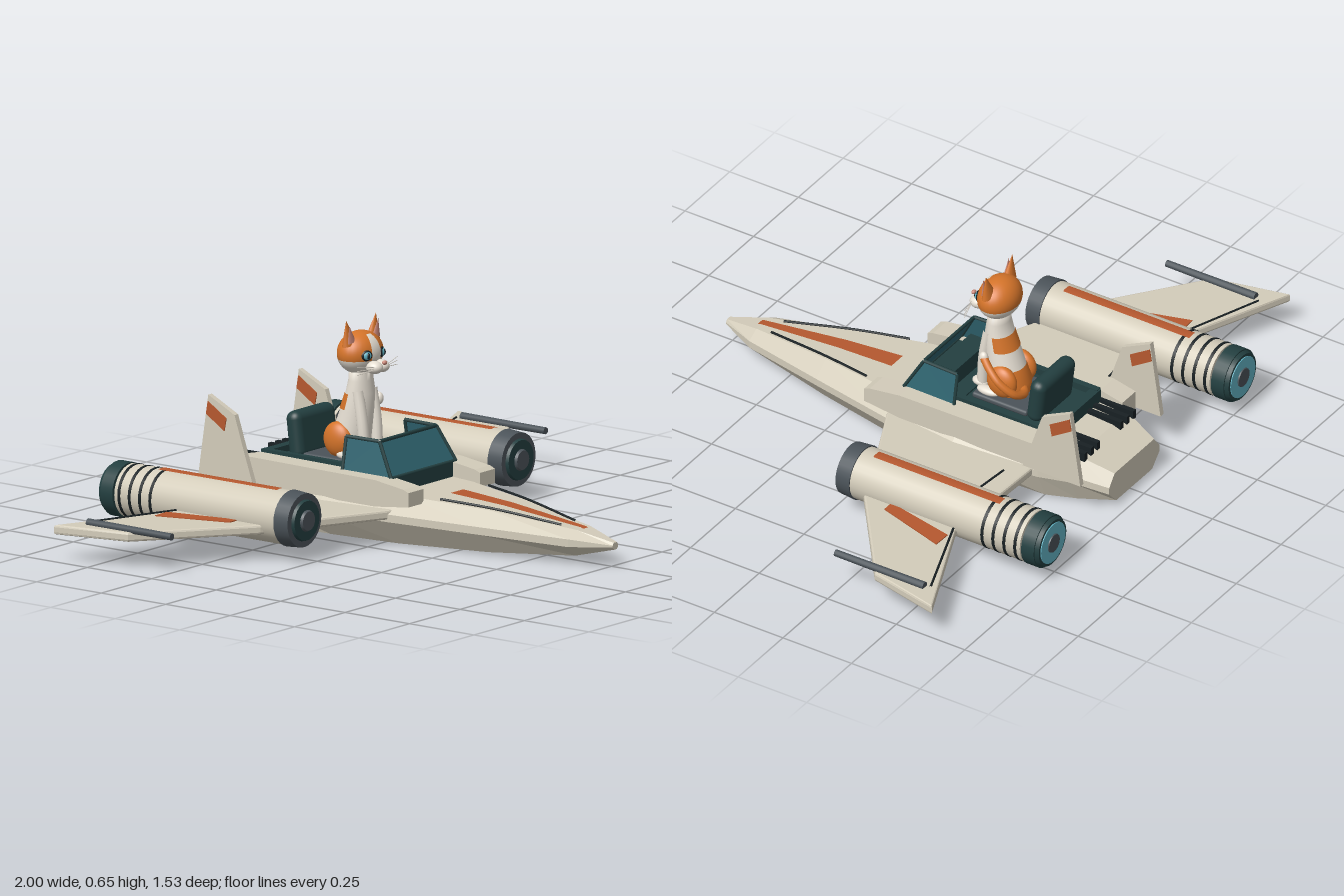
import * as THREE from 'three';
import { RoundedBoxGeometry } from 'three/addons/geometries/RoundedBoxGeometry.js';

const mat = (name, color, side = THREE.FrontSide) => {
  const m = new THREE.MeshStandardMaterial({ color, side });
  m.name = name;
  return m;
};

export function createModel() {
  const model = new THREE.Group();
  const cream = mat('hull cream', 0xd3ccba), slate = mat('slate metal', 0x4b5359);
  const dark = mat('dark green trim', 0x233f40), black = mat('panel black', 0x182023);
  const rust = mat('rust stripe', 0xb5582f), glass = mat('teal glass', 0x2f6470, THREE.DoubleSide);
  const glow = mat('engine glow', 0x63b4c6), ginger = mat('ginger fur', 0xd5742a);
  const white = mat('white fur', 0xe6dfd3), pink = mat('pink skin', 0xc98778);

  const add = (name, geo, material, x = 0, y = 0, z = 0, parent = model) => {
    const m = new THREE.Mesh(geo, material);
    m.name = name;
    m.position.set(x, y, z);
    parent.add(m);
    return m;
  };
  const box = (w, h, d) => new THREE.BoxGeometry(w, h, d);
  const V = (p) => new THREE.Vector3(...p);
  const tube = (pts, r, n = 12, sides = 6) =>
    new THREE.TubeGeometry(new THREE.CatmullRomCurve3(pts.map(V)), n, r, sides);
  // Cylinder lying along z between z0 (front) and z1 (back)
  const rod = (rf, rb, z0, z1, sides = 28) =>
    new THREE.CylinderGeometry(rf, rb, z0 - z1, sides).rotateX(Math.PI / 2).translate(0, 0, (z0 + z1) / 2);
  const ball = (rx, ry, rz, ...arc) => new THREE.SphereGeometry(1, 28, 20, ...arc).scale(rx, ry, rz);

  // Skin through rings of points; closed rings get end caps
  const loft = (rings, closed, flat) => {
    const n = rings[0].length, idx = [], last = (rings.length - 1) * n;
    for (let i = 0; i < rings.length - 1; i++)
      for (let j = 0; j < (closed ? n : n - 1); j++) {
        const a = i * n + j, b = i * n + (j + 1) % n;
        idx.push(a, a + n, b, b, a + n, b + n);
      }
    if (closed)
      for (let j = 1; j < n - 1; j++) idx.push(0, j, j + 1, last, last + j + 1, last + j);
    let g = new THREE.BufferGeometry();
    g.setAttribute('position', new THREE.Float32BufferAttribute(rings.flat(2), 3));
    g.setIndex(idx);
    if (flat) g = g.toNonIndexed();
    g.computeVertexNormals();
    return g;
  };
  // Horizontal plate from [x, z] outline, bottom at y = 0
  const plate = (pts, h, bevel = 0) => {
    const shape = new THREE.Shape(pts.map(([x, z]) => new THREE.Vector2(x, -z)));
    return new THREE.ExtrudeGeometry(shape, {
      depth: h - 2 * bevel, bevelEnabled: bevel > 0, bevelSize: bevel, bevelOffset: -bevel,
      bevelThickness: bevel, bevelSegments: 2,
    }).rotateX(-Math.PI / 2).translate(0, bevel, 0);
  };
  // Upright plate from [z, y] outline, centred on x = 0
  const upright = (pts, w) => new THREE.ExtrudeGeometry(
    new THREE.Shape(pts.map(([z, y]) => new THREE.Vector2(-z, y))), { depth: w, bevelEnabled: false },
  ).translate(0, 0, -w / 2).rotateY(Math.PI / 2);

  // Hull: z, top, middle and bottom half widths, bottom, middle and top heights
  const hull = [
    [0.765, 0.008, 0.014, 0.006, 0.055, 0.066, 0.077], [0.64, 0.035, 0.075, 0.04, 0.025, 0.07, 0.105],
    [0.35, 0.09, 0.145, 0.1, 0.006, 0.08, 0.135], [0.05, 0.15, 0.215, 0.16, 0.002, 0.09, 0.152],
    [-0.2, 0.16, 0.24, 0.18, 0, 0.092, 0.17], [-0.5, 0.15, 0.21, 0.17, 0, 0.1, 0.172],
    [-0.6, 0.14, 0.18, 0.14, 0.006, 0.1, 0.165], [-0.715, 0.11, 0.14, 0.1, 0.02, 0.075, 0.125],
  ].map(([z, t, m, b, y0, y1, y2]) => {
    const e = Math.min(0.012, m * 0.2);
    return [[m, y1 + e, z], [t, y2, z], [-t, y2, z], [-m, y1 + e, z],
      [-m, y1 - e, z], [-b, y0, z], [b, y0, z], [m, y1 - e, z]];
  });
  add('hull', loft(hull, true, true), cream);
  const strip = [[0.65, 0.012, 0.106], [0.64, 0.012, 0.109], [0.35, 0.024, 0.139], [0.15, 0.032, 0.151]];
  add('noseStripe', loft(strip.map(([z, w, y]) => [[w, y, z], [-w, y, z]]), false, true), rust);

  // Cockpit tub, fairing, console and seat
  add('cockpitFloor', box(0.27, 0.06, 0.5), dark, 0, 0.165, -0.25);
  add('windshieldBase', box(0.3, 0.06, 0.19), dark, 0, 0.17, -0.07);
  add('cockpitRearWall', box(0.27, 0.05, 0.03), dark, 0, 0.19, -0.49);
  add('console', box(0.24, 0.06, 0.07), dark, 0, 0.225, -0.075);
  add('seatCushion', new RoundedBoxGeometry(0.18, 0.02, 0.2, 2, 0.008), slate, 0, 0.203, -0.28);
  add('seatBack', new RoundedBoxGeometry(0.2, 0.15, 0.055, 4, 0.026), dark, 0, 0.262, -0.412).rotation.x = -0.12;

  // Windshield: front pane and two side panes in a dark frame
  const fb = [0.16, 0.2, 0.02], ft = [0.14, 0.305, -0.04], rt = [0.145, 0.305, -0.165], rb = [0.165, 0.2, -0.165];
  const flip = ([x, y, z]) => [-x, y, z];
  const pane = (a, b, c, d) => loft([[a, b], [d, c]], false, true);
  add('windshieldFront', pane(ft, flip(ft), flip(fb), fb), glass);
  add('windshieldTopBar', tube([ft, flip(ft)], 0.006, 1), dark);
  add('windshieldBottomBar', tube([fb, flip(fb)], 0.006, 1), dark);

  for (const s of [1, -1]) {
    const m = (pts) => pts.map(([x, ...r]) => [s * x, ...r]);
    const [a, b, c, d] = m([fb, ft, rt, rb]);
    add('windshieldSide', pane(a, b, c, d), glass);
    [[a, b], [b, c], [c, d]].forEach((e) => add('windshieldFrame', tube(e, 0.006, 1), dark));
    add('cockpitWall', box(0.02, 0.035, 0.34), dark, s * 0.13, 0.2, -0.33);

    // Shoulder rail and tail fin
    add('shoulderRail', upright([[0.13, 0.135], [0.13, 0.18], [0.11, 0.188], [0, 0.203], [-0.5, 0.208],
      [-0.58, 0.19], [-0.58, 0.12], [0, 0.12]], 0.075), cream, s * 0.177);
    add('tailFin', upright([[-0.46, 0.13], [-0.49, 0.215], [-0.53, 0.335], [-0.632, 0.385], [-0.66, 0.2],
      [-0.67, 0.13]], 0.018), cream, s * 0.224);
    add('finPanel', upright([[-0.56, 0.32], [-0.632, 0.365], [-0.639, 0.325], [-0.568, 0.28]], 0.024),
      rust, s * 0.224);

    // Wing with painted stripe, panel lines and tip gun
    add('wing', plate(m([[0.14, 0.08], [0.215, 0.05], [0.44, -0.055], [0.615, -0.13], [0.945, -0.385],
      [1, -0.63], [0.615, -0.465], [0.21, -0.48], [0.14, -0.48]]), 0.03, 0.007), cream, 0, 0.085, 0);
    add('wingStripe', plate(m([[0.715, -0.46], [0.655, -0.462], [0.605, -0.225], [0.645, -0.225]]), 0.005),
      rust, 0, 0.113, 0);
    [[[0.915, -0.57], [0.615, -0.457]], [[0.44, -0.4], [0.27, -0.415]]].forEach((l) =>
      add('wingPanelLine', tube(m(l.map(([x, z]) => [x, 0.116, z])), 0.004, 1, 5), black));
    add('nosePanelLine', tube(m([[0.12, 0.152, 0.18], [0.083, 0.14, 0.36], [0.035, 0.113, 0.585]]), 0.004), black);
    add('wingGun', rod(0.011, 0.013, -0.23, -0.555, 12), slate, s * 0.925, 0.12, 0);

    // Engine pod
    const pod = new THREE.Group();
    pod.name = 'engine';
    pod.position.set(s * 0.53, 0.13, 0);
    model.add(pod);
    const part = (name, geo, material) => add(name, geo, material, 0, 0, 0, pod);
    part('engineBody', rod(0.084, 0.084, -0.07, -0.698), cream);
    part('engineCore', rod(0.07, 0.07, -0.69, -0.71), black);
    part('intakeCollar', rod(0.084, 0.088, -0.026, -0.078), slate);
    part('intakeDisc', rod(0.062, 0.066, -0.016, -0.03), dark);
    part('intakeHub', rod(0.03, 0.036, -0.008, -0.02), slate);
    for (const z of [-0.555, -0.595, -0.635, -0.675]) part('engineBand', rod(0.0855, 0.0855, z, z - 0.01), black);
    part('nozzleCollar', rod(0.086, 0.086, -0.704, -0.75), dark);
    part('nozzleLip', rod(0.082, 0.077, -0.75, -0.763), dark);
    part('nozzleGlow', rod(0.068, 0.068, -0.755, -0.766), glow);
    part('nozzleHub', rod(0.034, 0.03, -0.755, -0.77), slate);
    part('engineStripe', new THREE.CylinderGeometry(0.0862, 0.0862, 0.46, 6, 1, true, Math.PI - 0.2, 0.4)
      .rotateX(Math.PI / 2).translate(0, 0, -0.35), rust);

    // Rear deck vents
    for (const x of [0.065, 0.1, 0.135])
      add('deckVent', box(0.016, 0.03, 0.125), black, s * x, 0.168, -0.565);
  }

  // Cat, seated upright
  const cat = new THREE.Group();
  cat.name = 'cat';
  model.add(cat);
  const fur = (name, geo, material, x, y, z) => add(name, geo, material, x, y, z, cat);
  // Torso rows from the neck down: y, centre z, half width, half depth
  const torso = [[0.49, -0.222, 0.042, 0.032], [0.45, -0.222, 0.046, 0.034], [0.41, -0.224, 0.052, 0.042],
    [0.36, -0.234, 0.056, 0.052], [0.3, -0.248, 0.062, 0.06], [0.25, -0.262, 0.068, 0.066], [0.21, -0.266, 0.058, 0.06]];
  const wrap = (rows, a0, a1, grow, closed) => loft(rows.map(([y, cz, rx, rz]) =>
    Array.from({ length: 24 }, (_, i) => {
      const a = a0 + (a1 - a0) * i / (closed ? 24 : 23);
      return [Math.sin(a) * (rx + grow), y, cz + Math.cos(a) * (rz + grow)];
    })), closed, false);
  fur('torso', wrap(torso, 0, Math.PI * 2, 0, true), white);
  fur('shoulderPatch', wrap(torso.slice(2, 4), 1.7, 4.58, 0.002, false), ginger);
  fur('rumpPatch', wrap(torso.slice(4, 7), 1.8, 4.48, 0.002, false), ginger);
  fur('tail', tube([[0, 0.235, -0.31], [0.05, 0.245, -0.345], [0.1, 0.27, -0.34], [0.122, 0.31, -0.3],
    [0.115, 0.345, -0.26], [0.105, 0.37, -0.235]], 0.013, 30, 10), ginger);
  fur('tailTip', ball(0.013, 0.02, 0.015), white, 0.104, 0.37, -0.234);

  // Head: ginger cap, white jaw and blaze
  const hy = 0.535, hz = -0.225;
  fur('headCap', ball(0.083, 0.067, 0.064, 0, Math.PI * 2, 0, 1.82), ginger, 0, hy, hz);
  fur('jaw', ball(0.083, 0.067, 0.064, 0, Math.PI * 2, 1.82, Math.PI - 1.82), white, 0, hy, hz);
  fur('blaze', ball(0.085, 0.0685, 0.0655, Math.PI / 2 - 0.25, 0.5, 0.5, 1.4), white, 0, hy, hz);
  fur('nose', ball(0.009, 0.007, 0.007), pink, 0, 0.514, -0.13);
  for (const s of [1, -1]) {
    fur('muzzle', ball(0.024, 0.02, 0.028), white, s * 0.016, 0.498, -0.157);
    fur('eyeRim', ball(0.019, 0.017, 0.008), black, s * 0.037, 0.536, -0.171).rotation.y = s * 0.45;
    fur('eye', ball(0.014, 0.013, 0.008), glow, s * 0.038, 0.536, -0.168).rotation.y = s * 0.45;
    fur('pupil', ball(0.006, 0.01, 0.006), black, s * 0.0385, 0.536, -0.1635);
    fur('ear', new THREE.ConeGeometry(0.03, 0.078, 16).scale(1, 1, 0.55), ginger, s * 0.066, 0.607, -0.222)
      .rotation.z = -s * 0.2;
    fur('innerEar', new THREE.ConeGeometry(0.018, 0.054, 12).scale(1, 1, 0.4), pink, s * 0.066, 0.603, -0.211)
      .rotation.z = -s * 0.2;
    for (const k of [-1, 0, 1])
      fur('whisker', tube([[s * 0.03, 0.499 + k * 0.004, -0.142], [s * 0.1, 0.499 + k * 0.012, -0.16]], 0.0012, 1, 4), white);
    fur('frontLeg', tube([[s * 0.034, 0.42, -0.208], [s * 0.034, 0.32, -0.19], [s * 0.03, 0.215, -0.182]], 0.018, 10, 12), white);
    fur('frontPaw', ball(0.021, 0.014, 0.028), white, s * 0.03, 0.22, -0.175);
    fur('haunch', ball(0.03, 0.055, 0.052), ginger, s * 0.054, 0.265, -0.268);
    fur('hindPaw', ball(0.02, 0.014, 0.04), white, s * 0.064, 0.221, -0.225);
  }
  return model;
}
